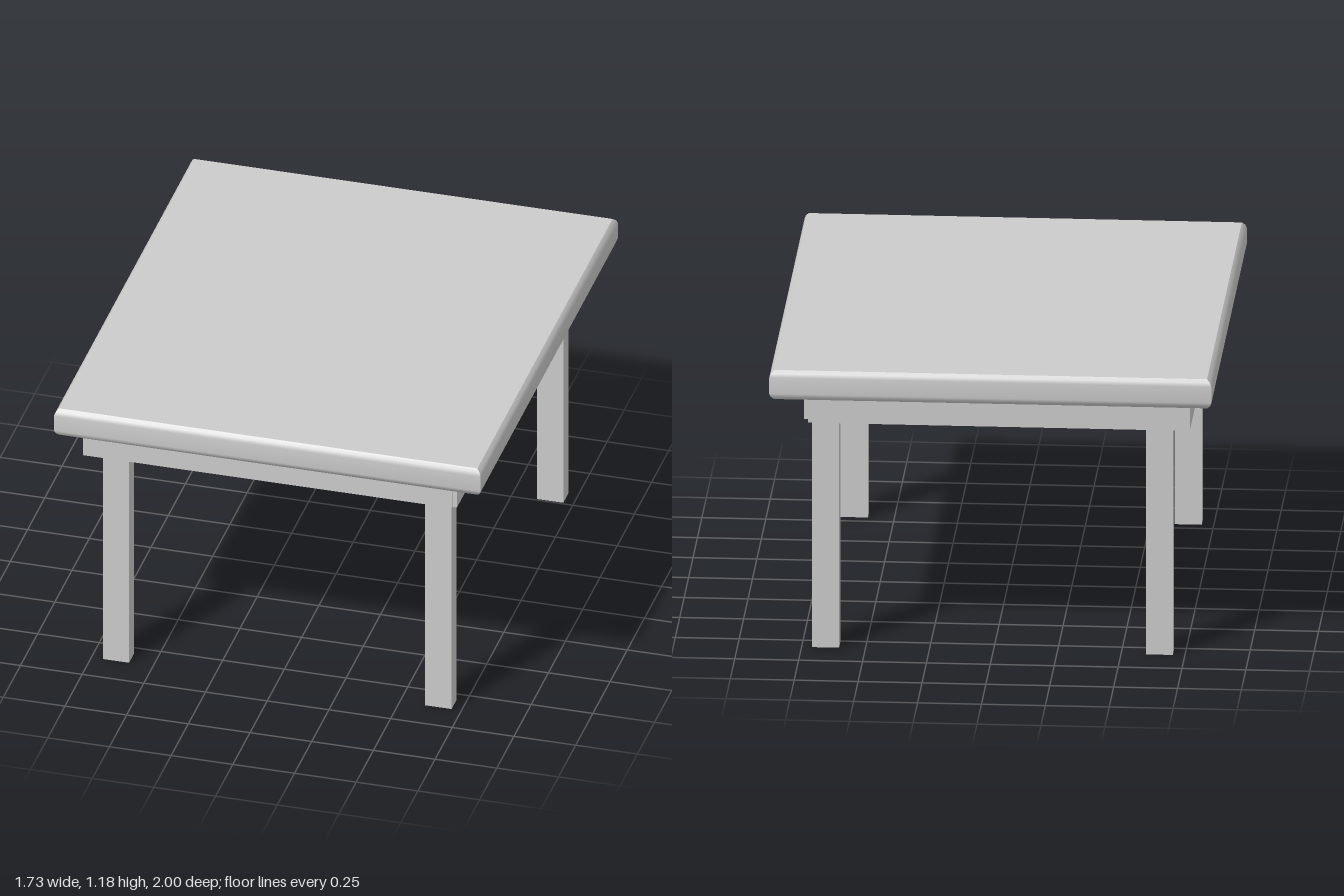
import * as THREE from 'three';

const material = new THREE.MeshStandardMaterial({ color: 0xcccccc });

// Box given by its limits on each axis
function box(name, [x0, x1], [y0, y1], [z0, z1]) {
  const mesh = new THREE.Mesh(new THREE.BoxGeometry(x1 - x0, y1 - y0, z1 - z0), material);
  mesh.position.set((x0 + x1) / 2, (y0 + y1) / 2, (z0 + z1) / 2);
  mesh.name = name;
  return mesh;
}

// Rectangular slab whose rim follows a profile of [inset, y], smooth along each side, mitred at corners
function slab(halfX, halfZ, profile) {
  const positions = [], index = [];
  const corners = [[-1, 1], [1, 1], [1, -1], [-1, -1]];
  const push = ([sx, sz], [inset, y]) =>
    positions.push(sx * (halfX - inset), y, sz * (halfZ - inset));

  corners.forEach((corner, side) => {
    const start = positions.length / 3;
    profile.forEach((p, i) => {
      push(corner, p);
      push(corners[(side + 1) % 4], p);
      if (i === 0) return;
      const a = start + 2 * (i - 1);
      index.push(a, a + 1, a + 3, a, a + 3, a + 2);
    });
  });

  // Flat top and underside
  const top = positions.length / 3;
  corners.forEach(c => push(c, profile[profile.length - 1]));
  index.push(top, top + 1, top + 2, top, top + 2, top + 3);
  corners.forEach(c => push(c, profile[0]));
  index.push(top + 4, top + 6, top + 5, top + 4, top + 7, top + 6);

  const geometry = new THREE.BufferGeometry();
  geometry.setAttribute('position', new THREE.Float32BufferAttribute(positions, 3));
  geometry.setIndex(index);
  geometry.computeVertexNormals();
  return geometry;
}

export function createModel() {
  const table = new THREE.Group();
  table.name = 'table';

  // Table top with eased edges
  const top = new THREE.Mesh(slab(0.865, 1, [
    [0.018, 1.065], [0.006, 1.077], [0, 1.092],
    [0, 1.158], [0.006, 1.173], [0.018, 1.185],
  ]), material);
  top.name = 'tableTop';
  table.add(top);

  // Apron rails, slightly staggered at the corners
  const railY = [0.94, 1.066];
  table.add(
    box('frontRail', [-0.773, 0.722], railY, [0.863, 0.906]),
    box('backRail', [-0.773, 0.722], railY, [-0.888, -0.845]),
    box('rightRail', [0.7, 0.74], railY, [-0.845, 0.897]),
    box('leftRail', [-0.773, -0.73], railY, [-0.845, 0.897]),
  );

  // Legs run up inside the apron to the table top
  const legX = { left: [0.603, 0.71], right: [-0.703, -0.597] };
  const legZ = { front: [0.797, 0.866], back: [-0.834, -0.758] };
  for (const [end, z] of Object.entries(legZ))
    for (const [side, x] of Object.entries(legX))
      table.add(box(`${end} ${side} leg`, x, [0, 1.07], z));

  return table;
}
